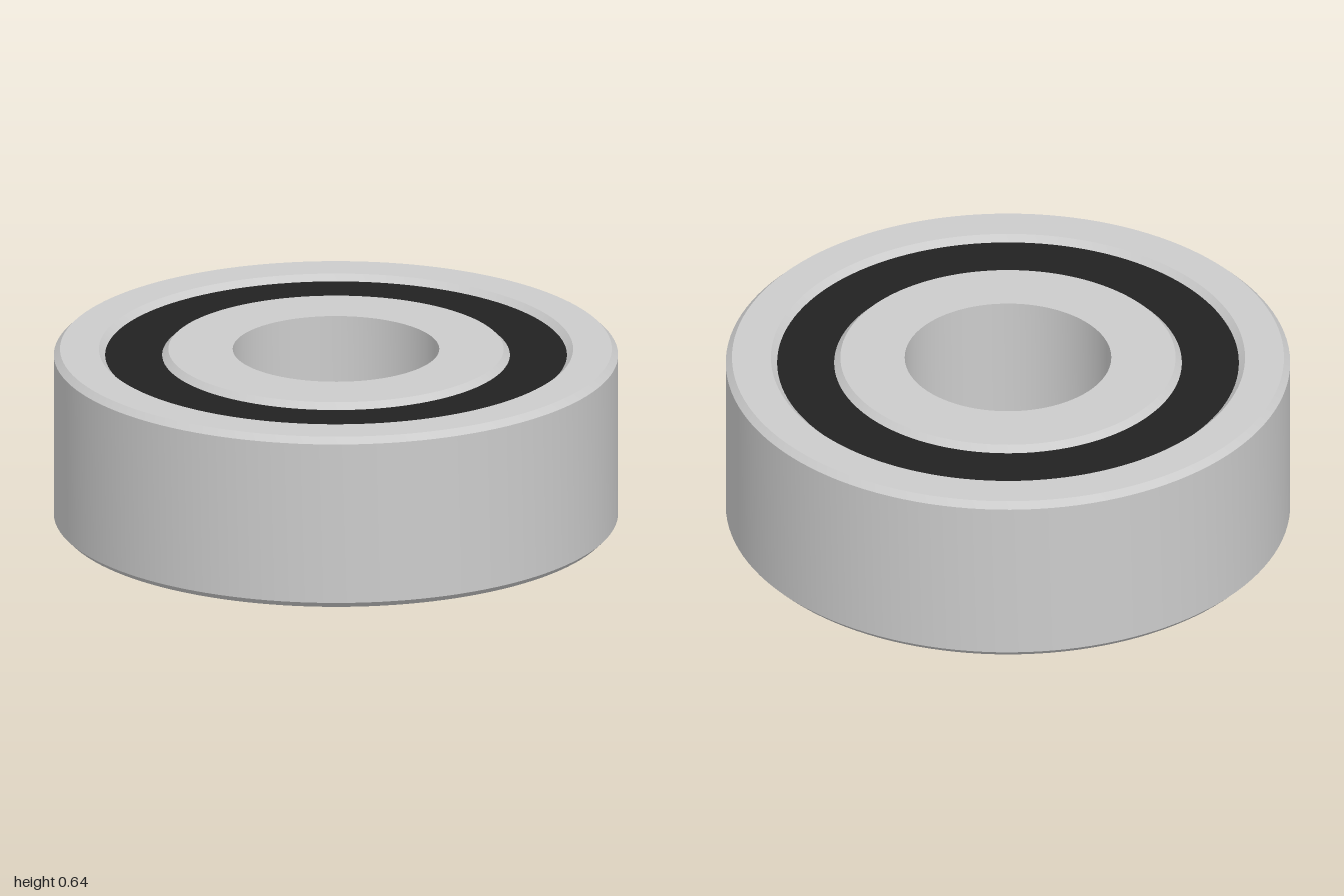
import * as THREE from 'three';
import { toCreasedNormals } from 'three/addons/utils/BufferGeometryUtils.js';

const HEIGHT = 0.636;
const CHAMFER = 0.022;
const SEGMENTS = 128;

// Revolve a closed [radius, y] profile, listed counterclockwise
function ring(name, profile, color) {
  const points = [...profile, profile[0]].map(([r, y]) => new THREE.Vector2(r, y));
  const geometry = toCreasedNormals(new THREE.LatheGeometry(points, SEGMENTS), Math.PI / 6);
  const mesh = new THREE.Mesh(geometry, new THREE.MeshStandardMaterial({ color }));
  mesh.name = name;
  return mesh;
}

export function createModel() {
  const group = new THREE.Group();
  group.name = 'ballBearing';
  const top = HEIGHT, c = CHAMFER;

  // Outer race, chamfered on its rim and beside the seals
  group.add(ring('outerRace', [
    [1 - c, 0], [1, c], [1, top - c], [1 - c, top],
    [0.84, top], [0.84 - c, top - c], [0.84 - c, c], [0.84, 0],
  ], 0xcccccc));

  // Inner race, straight bore and chamfered outer edges
  group.add(ring('innerRace', [
    [0.594, 0], [0.594 + c, c], [0.594 + c, top - c], [0.594, top],
    [0.366, top], [0.366, 0],
  ], 0xcccccc));

  // Dark seal filling the gap, set back to the foot of the chamfers
  group.add(ring('seal', [
    [0.84 - c, c], [0.84 - c, top - c], [0.594 + c, top - c], [0.594 + c, c],
  ], 0x222222));

  return group;
}
